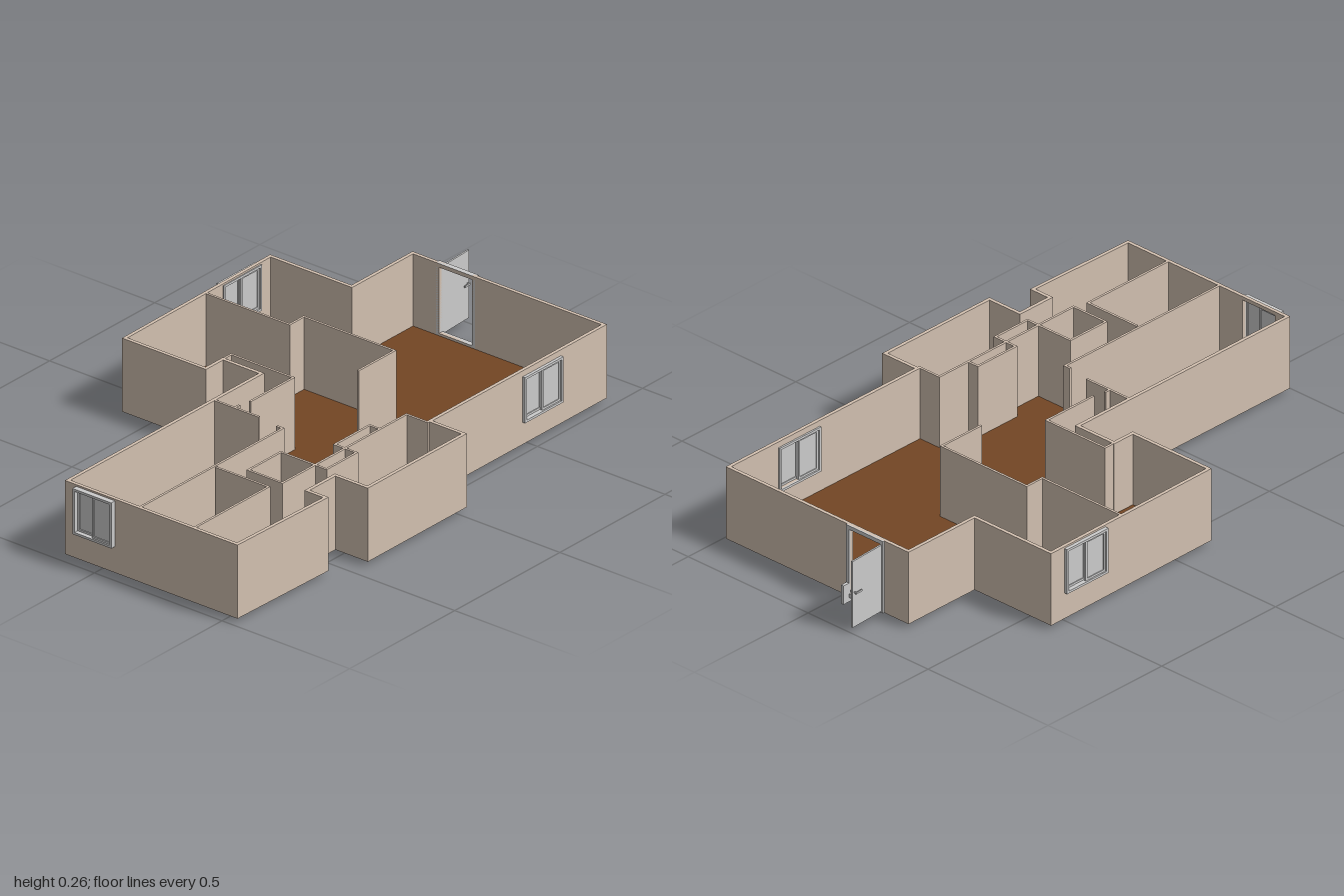
import * as THREE from 'three';

const FLOOR = 0.02, BASE = 0.015, TOP = 0.265;
const wallMat = new THREE.MeshStandardMaterial({ color: 0xd2c0b0 });
const floorMat = new THREE.MeshStandardMaterial({ color: 0x734624 });
const greyMat = new THREE.MeshStandardMaterial({ color: 0xcccccc });

function box(parent, name, x0, x1, y0, y1, z0, z1, mat = greyMat) {
  const mesh = new THREE.Mesh(new THREE.BoxGeometry(x1 - x0, y1 - y0, z1 - z0), mat);
  mesh.position.set((x0 + x1) / 2, (y0 + y1) / 2, (z0 + z1) / 2);
  mesh.name = name;
  parent.add(mesh);
  return mesh;
}

// Upright wall between two plan points, with an optional opening [from, to, bottom, top]
function wall([ax, az], [bx, bz], t, name, opening) {
  const len = Math.hypot(bx - ax, bz - az), e = t / 2;
  const shape = new THREE.Shape();
  shape.moveTo(-e, BASE).lineTo(len + e, BASE).lineTo(len + e, TOP).lineTo(-e, TOP).closePath();
  if (opening) {
    const [s0, s1, y0, y1] = opening;
    const hole = new THREE.Path();
    hole.moveTo(s0, y0).lineTo(s0, y1).lineTo(s1, y1).lineTo(s1, y0).closePath();
    shape.holes.push(hole);
  }
  const geo = new THREE.ExtrudeGeometry(shape, { depth: t, bevelEnabled: false });
  geo.translate(0, 0, -e);
  const mesh = new THREE.Mesh(geo, wallMat);
  mesh.position.set(ax, 0, az);
  mesh.rotation.y = -Math.atan2(bz - az, bx - ax);
  mesh.name = name;
  return mesh;
}

function walls(path, t, name, openings = {}) {
  const group = new THREE.Group();
  group.name = name;
  for (let i = 0; i < path.length - 1; i++) {
    group.add(wall(path[i], path[i + 1], t, name + 'Panel', openings[i]));
  }
  return group;
}

// Rectangular frame standing in the local xy plane
function frame(parent, name, x0, x1, y0, y1, z0, z1, w) {
  box(parent, name, x0, x0 + w, y0, y1, z0, z1);
  box(parent, name, x1 - w, x1, y0, y1, z0, z1);
  box(parent, name, x0 + w, x1 - w, y0, y0 + w, z0, z1);
  box(parent, name, x0 + w, x1 - w, y1 - w, y1, z0, z1);
}

// Sliding window with two sashes on separate tracks; +z is outside
function slidingWindow(width, height, x, y, z, turn) {
  const g = new THREE.Group();
  g.name = 'slidingWindow';
  const w = width / 2, h = height / 2;
  frame(g, 'windowFrame', -w, w, -h, h, -0.014, 0.014, 0.008);
  for (const s of [-1, 1]) {
    const x0 = s < 0 ? -w + 0.008 : -0.004, x1 = s < 0 ? 0.004 : w - 0.008;
    const zc = s * 0.005;
    frame(g, 'sash', x0, x1, -h + 0.008, h - 0.008, zc - 0.004, zc + 0.004, 0.007);
    box(g, 'pane', x0 + 0.007, x1 - 0.007, -h + 0.015, h - 0.015, zc - 0.001, zc + 0.001);
  }
  g.position.set(x, y, z);
  g.rotation.y = turn;
  return g;
}

function entranceDoor() {
  const g = new THREE.Group();
  g.name = 'entranceDoor';
  // Frame around the doorway in the right-hand wall
  const surround = new THREE.Group();
  surround.name = 'doorSurround';
  frame(surround, 'doorFrame', -0.077, 0.077, BASE, TOP, -0.009, 0.009, 0.013);
  surround.position.set(0.857, 0, -0.108);
  surround.rotation.y = Math.PI / 2;
  g.add(surround);
  // Foot plate and short guard at the free jamb
  box(g, 'footPlate', 0.835, 0.89, 0, 0.015, -0.043, -0.033);
  box(g, 'jambGuard', 0.866, 0.89, 0.015, 0.065, -0.043, -0.033);
  // Leaf swung outwards, slightly past square
  const leaf = new THREE.Group();
  leaf.name = 'doorLeaf';
  box(leaf, 'leafPanel', 0, 0.133, 0.02, 0.25, -0.003, 0.003);
  for (const s of [-1, 1]) {
    const stem = new THREE.Mesh(new THREE.CylinderGeometry(0.003, 0.003, 0.008, 10), greyMat);
    stem.rotation.x = Math.PI / 2;
    stem.position.set(0.124, 0.14, s * 0.006);
    stem.name = 'handleStem';
    leaf.add(stem);
    box(leaf, 'handle', 0.1, 0.128, 0.137, 0.143, s * 0.011 - 0.002, s * 0.011 + 0.002);
  }
  leaf.position.set(0.866, 0, -0.175);
  leaf.rotation.y = 0.05;
  g.add(leaf);
  return g;
}

export function createModel() {
  const model = new THREE.Group();
  model.name = 'apartment';

  // Outer wall centreline in plan (x, z), clockwise from the back left corner
  const outline = [
    [-0.976, -0.124], [-0.055, -0.124], [-0.055, -0.275], [-0.137, -0.275],
    [-0.137, -0.592], [0.564, -0.599], [0.564, -0.28], [0.854, -0.28],
    [0.854, 0.47], [0.025, 0.47], [0.025, 0.604], [-0.434, 0.604],
    [-0.434, 0.477], [-0.567, 0.477], [-0.567, 0.55], [-0.976, 0.54], [-0.976, -0.124],
  ];
  model.add(walls(outline, 0.012, 'outerWall', {
    4: [0.475, 0.64, 0.11, 0.253],
    7: [0.108, 0.236, 0.028, 0.252],
    8: [0.222, 0.386, 0.098, 0.237],
    15: [0.483, 0.618, 0.11, 0.253],
  }));

  // Floor slab follows the outline
  const plan = new THREE.Shape(outline.slice(0, -1).map(([x, z]) => new THREE.Vector2(x, -z)));
  const slab = new THREE.ExtrudeGeometry(plan, { depth: FLOOR - 0.014, bevelEnabled: false });
  slab.rotateX(-Math.PI / 2);
  const floor = new THREE.Mesh(slab, floorMat);
  floor.position.y = 0.014;
  floor.name = 'floor';
  model.add(floor);

  // Partitions inside the rooms
  const partitions = [
    [[0.25, -0.59], [0.25, -0.265], [0.318, -0.265], [0.318, 0.09], [0.148, 0.09]],
    [[-0.055, -0.275], [-0.015, -0.275], [-0.015, -0.032], [-0.217, -0.032]],
    [[-0.282, -0.124], [-0.282, 0.05]],
    [[-0.282, -0.042], [-0.264, -0.042]],
    [[-0.976, 0.157], [-0.295, 0.157], [-0.295, 0.138]],
    [[-0.976, 0.371], [-0.622, 0.371], [-0.622, 0.17]],
    [[-0.575, 0.387], [-0.575, 0.253], [-0.42, 0.253], [-0.42, 0.432],
      [-0.278, 0.432], [-0.278, 0.347], [-0.112, 0.347], [-0.112, 0.387]],
    [[-0.575, 0.387], [0.015, 0.387], [0.015, 0.47]],
  ];
  for (const path of partitions) model.add(walls(path, 0.008, 'partition'));

  // Windows on the front, back and right-hand end, then the door
  model.add(slidingWindow(0.182, 0.155, 0.55, 0.1675, 0.472, 0));
  model.add(slidingWindow(0.182, 0.155, 0.42, 0.1815, -0.602, Math.PI));
  model.add(slidingWindow(0.152, 0.155, -0.986, 0.1815, -0.01, -Math.PI / 2));
  model.add(entranceDoor());
  return model;
}
